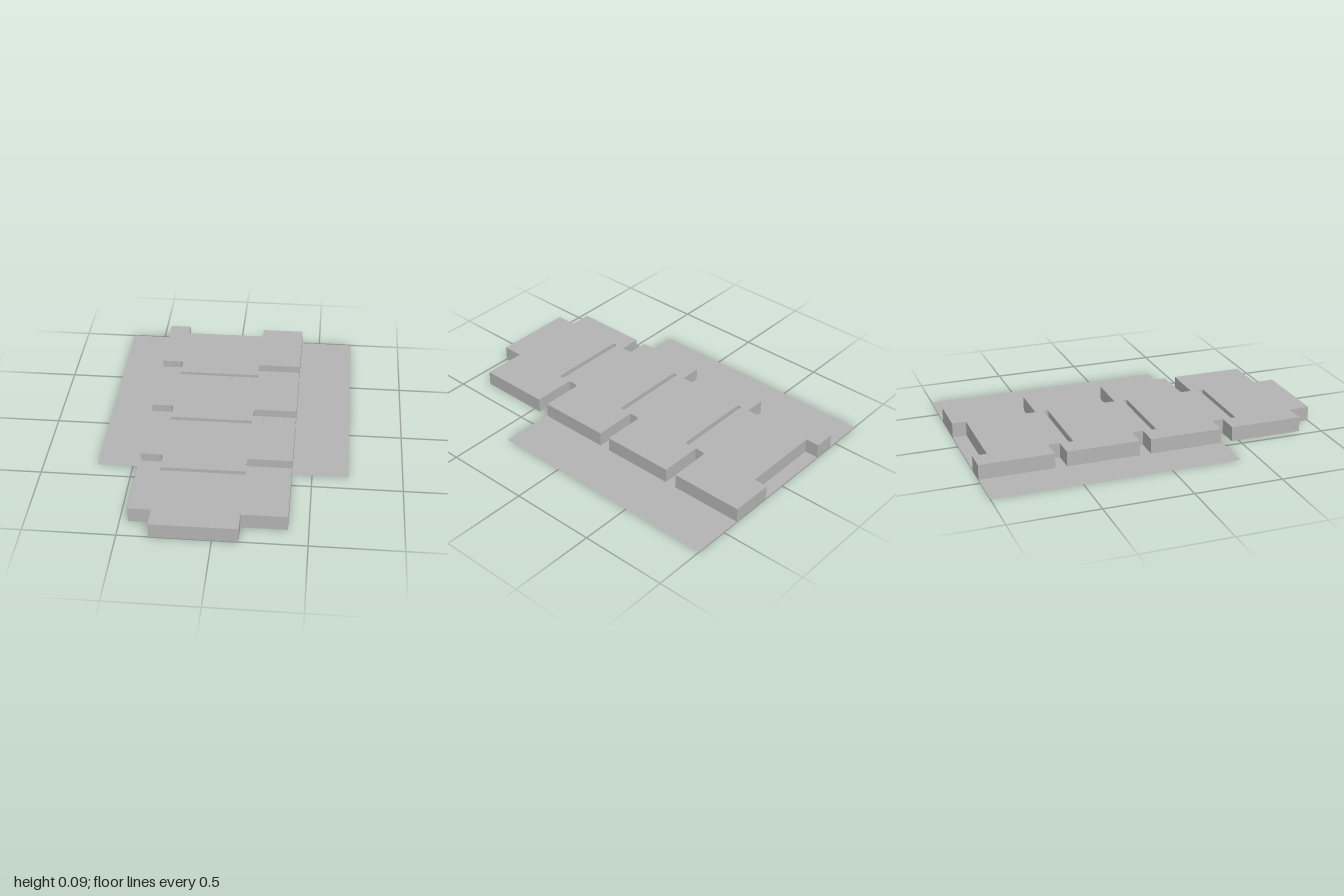
import * as THREE from 'three';

const HEIGHT = 0.085;
const LEFT = 0.39, RIGHT = -0.455;        // outer sides of the links
const NECK_L = 0.14, NECK_R = -0.33;      // sides of the narrow necks
const NOTCHES = [[-0.578, -0.512], [-0.093, -0.028], [0.392, 0.458]];
const SLOTS = [[-0.462, -0.436], [0.024, 0.05], [0.509, 0.536]];

// One side of the outline, from back to front, with a notch at each neck
function sidePoints(outer, neck) {
  const s = Math.sign(outer - neck) * 0.012;
  const points = [[neck, -0.92], [neck, -1], [outer, -1]];
  for (const [back, front] of NOTCHES) {
    points.push([outer, back], [neck + s, back], [neck, back + 0.01], [neck, front], [outer, front]);
  }
  points.push([outer, 0.88], [neck, 0.88], [neck, 1]);
  return points.map(([x, z]) => new THREE.Vector2(x, z));
}

// Narrow slot with slightly clipped corners
function slotPath(back, front) {
  const c = 0.005;
  return new THREE.Path([
    [NECK_R + c, back], [NECK_R, back + c], [NECK_R, front - c], [NECK_R + c, front],
    [NECK_L - c, front], [NECK_L, front - c], [NECK_L, back + c], [NECK_L - c, back],
  ].map(([x, z]) => new THREE.Vector2(x, z)));
}

export function createModel() {
  const group = new THREE.Group();
  const grey = new THREE.MeshStandardMaterial({ color: 0xb3b3b3, side: THREE.DoubleSide });
  grey.name = 'plain grey';

  // Chain of four linked plates, pierced by three slots
  const outline = new THREE.Shape([
    ...sidePoints(LEFT, NECK_L),
    ...sidePoints(RIGHT, NECK_R).reverse(),
  ]);
  outline.holes = SLOTS.map(([back, front]) => slotPath(back, front));
  const linkGeometry = new THREE.ExtrudeGeometry(outline, { depth: HEIGHT, bevelEnabled: false });
  linkGeometry.rotateX(Math.PI / 2).translate(0, HEIGHT, 0);
  const links = new THREE.Mesh(linkGeometry, grey);
  links.name = 'linkedPlates';
  group.add(links);

  // Thin square sheet under the back of the plates
  const sheet = new THREE.Mesh(new THREE.PlaneGeometry(1.4, 1.4).rotateX(-Math.PI / 2), grey);
  sheet.position.z = -0.3;
  sheet.name = 'baseSheet';
  group.add(sheet);

  return group;
}
